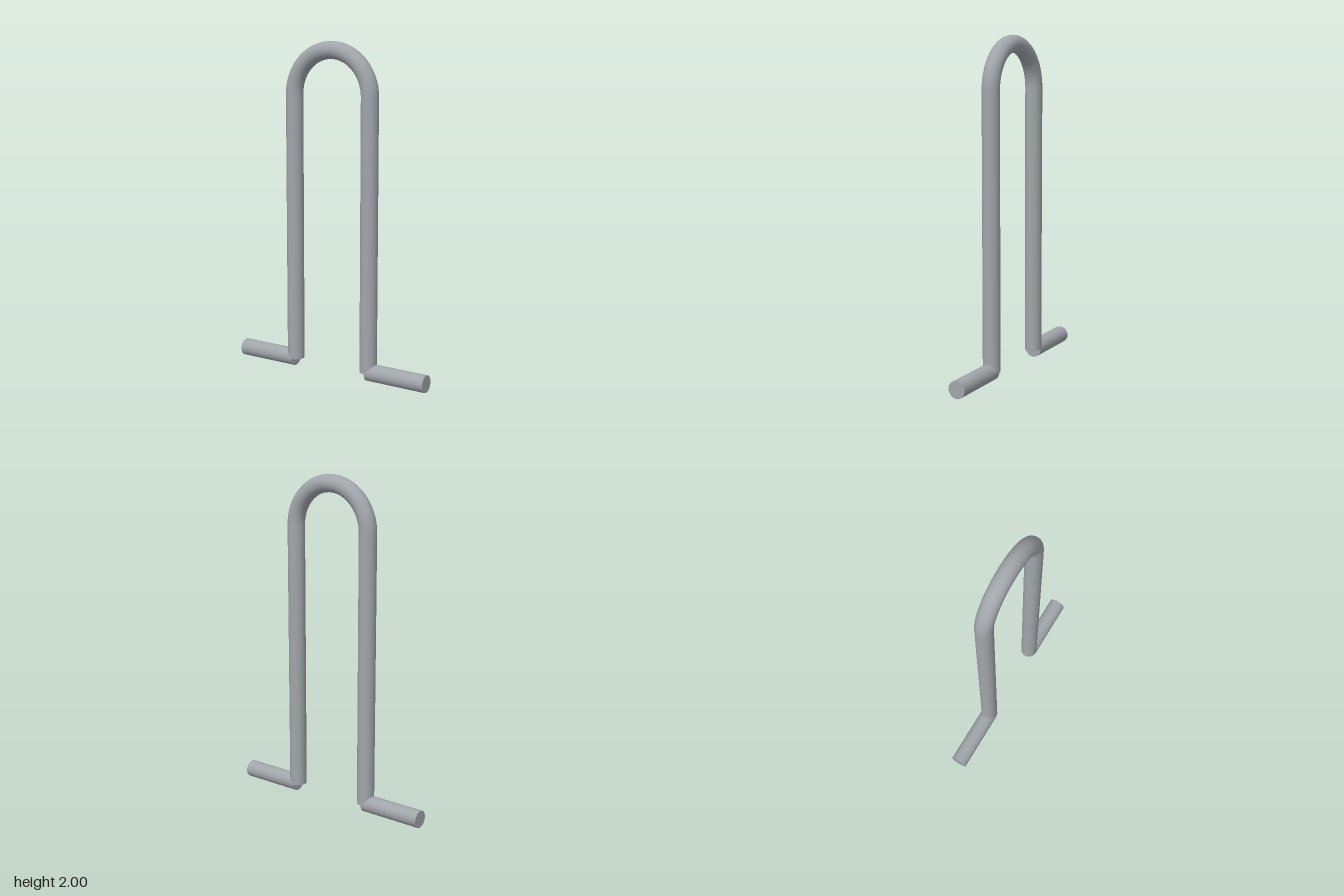
import * as THREE from 'three';

const R = 0.052;       // rod radius
const HALF = 0.262;    // bend radius and leg offset
const BEND_Y = 1.686;  // height where the bend starts
const FOOT_END = 0.654;

export function createModel() {
  const steel = new THREE.MeshStandardMaterial({ color: 0xa0a5a9 });
  steel.name = 'steel grey';
  const group = new THREE.Group();
  group.name = 'bentRod';

  const add = (name, geometry, x, y) => {
    const mesh = new THREE.Mesh(geometry, steel);
    mesh.name = name;
    mesh.position.set(x, y, 0);
    group.add(mesh);
  };

  // half-circle bend at the top
  add('topBend', new THREE.TorusGeometry(HALF, R, 32, 64, Math.PI), 0, BEND_Y);

  for (const [side, s] of [['left', 1], ['right', -1]]) {
    // upright leg, ending at the axis of the foot
    const height = BEND_Y - R;
    add(side + 'Leg', new THREE.CylinderGeometry(R, R, height, 32), s * HALF, R + height / 2);

    // foot pointing outward, starting at the axis of the leg
    const length = FOOT_END - HALF;
    const foot = new THREE.CylinderGeometry(R, R, length, 32).rotateZ(Math.PI / 2);
    add(side + 'Foot', foot, s * (HALF + length / 2), R);
  }
  return group;
}
